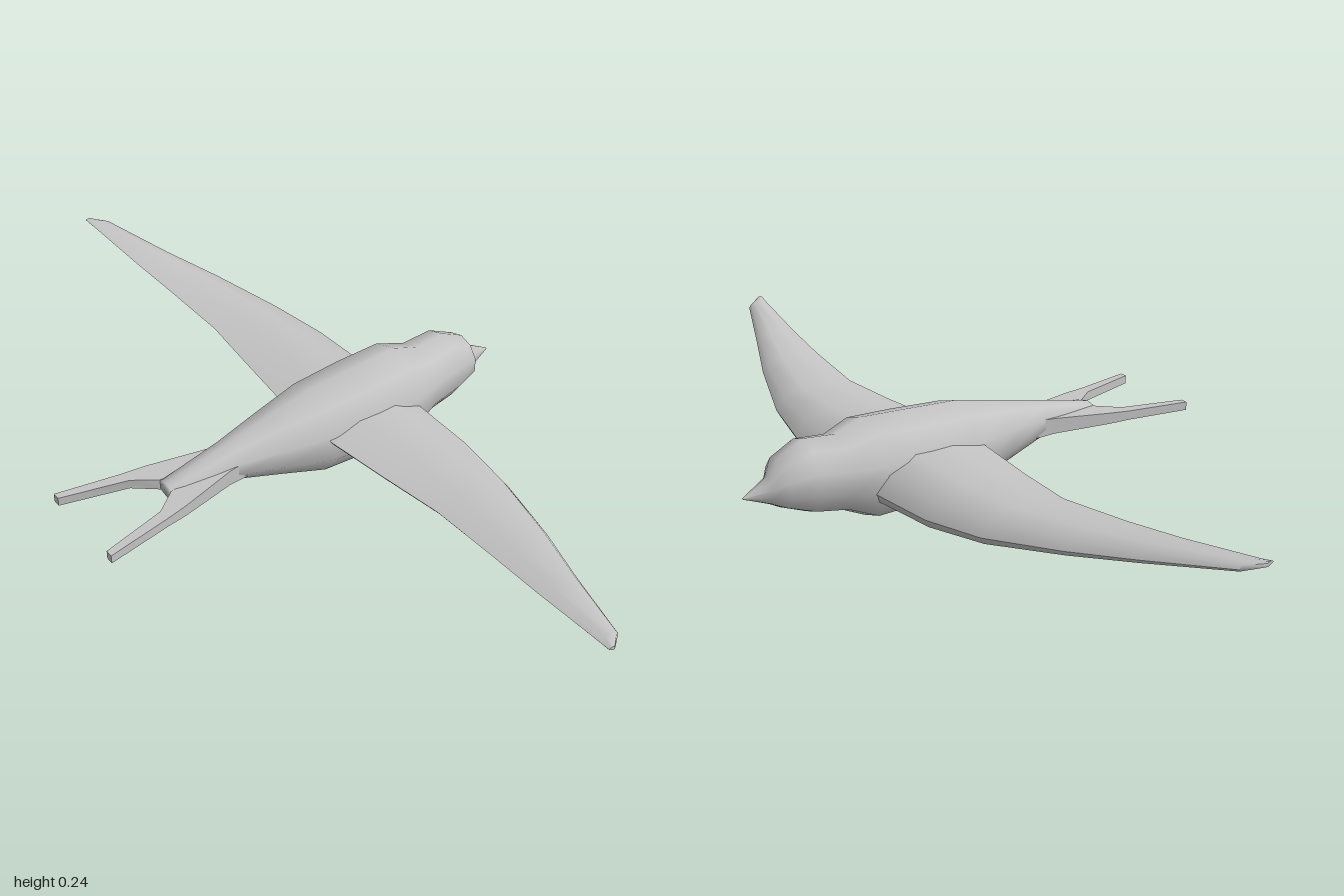
import * as THREE from 'three';
import { toCreasedNormals } from 'three/addons/utils/BufferGeometryUtils.js';

const plumage = new THREE.MeshStandardMaterial({ color: 0xc4c4c4 });
plumage.name = 'plumage grey';

// Closed skin over rings of equal point count, with fan caps, always facing outwards
function loft(rings, crease) {
  const n = rings[0].length, last = rings.length - 1;
  const pos = rings.flat(2);
  const index = [];
  for (let i = 0; i < last; i++) {
    for (let j = 0; j < n; j++) {
      const a = i * n + j, b = i * n + (j + 1) % n;
      index.push(a, b, a + n, b, b + n, a + n);
    }
  }
  for (const r of [0, last]) {
    const c = pos.length / 3;
    for (let k = 0; k < 3; k++) pos.push(rings[r].reduce((s, p) => s + p[k], 0) / n);
    for (let j = 0; j < n; j++) {
      const a = r * n + j, b = r * n + (j + 1) % n;
      if (r === 0) index.push(c, b, a); else index.push(c, a, b);
    }
  }
  const v = (i) => new THREE.Vector3().fromArray(pos, i * 3);
  let volume = 0;
  for (let i = 0; i < index.length; i += 3) {
    volume += v(index[i]).dot(v(index[i + 1]).cross(v(index[i + 2])));
  }
  if (volume < 0) index.reverse();
  const geo = new THREE.BufferGeometry();
  geo.setAttribute('position', new THREE.Float32BufferAttribute(pos, 3));
  geo.setIndex(index);
  if (crease) return toCreasedNormals(geo, crease);
  geo.computeVertexNormals();
  return geo;
}

function part(name, geo) {
  const mesh = new THREE.Mesh(geo, plumage);
  mesh.name = name;
  return mesh;
}

// Body, head and beak: x, bottom, top, half width
function bodyGeometry() {
  const stations = [
    [-0.37, 0.104, 0.142, 0.03], [-0.21, 0.086, 0.178, 0.046], [-0.09, 0.05, 0.205, 0.075],
    [0.03, 0.012, 0.23, 0.103], [0.16, 0.008, 0.238, 0.112], [0.28, 0.004, 0.245, 0.108],
    [0.35, 0.038, 0.22, 0.084], [0.43, 0.053, 0.228, 0.077], [0.495, 0.08, 0.197, 0.058],
    [0.52, 0.094, 0.158, 0.027], [0.583, 0.121, 0.124, 0.002],
  ];
  const sides = 10;
  return loft(stations.map(([x, lo, hi, w]) => Array.from({ length: sides }, (_, j) => {
    const a = j / sides * Math.PI * 2;
    return [x, (lo + hi) / 2 + Math.cos(a) * (hi - lo) / 2, Math.sin(a) * w / 0.951];
  })));
}

// Wing: z, trailing x, leading x, lowest y, highest y
function wingGeometry(side) {
  const stations = [
    [0.04, 0.01, 0.31, 0.065, 0.175], [0.11, 0.015, 0.305, 0.07, 0.17],
    [0.28, 0.035, 0.297, 0.08, 0.166], [0.44, 0.052, 0.265, 0.098, 0.166],
    [0.63, 0.04, 0.2, 0.133, 0.18], [0.78, 0.026, 0.137, 0.162, 0.195],
    [0.97, 0.007, 0.06, 0.203, 0.221], [1.0, 0.003, 0.02, 0.214, 0.225],
  ];
  // Section as fractions of chord (from the leading edge) and of height
  const section = [[0, 0.28], [0.1, 0.7], [0.35, 1], [0.7, 0.97], [1, 0.78],
    [0.97, 0.66], [0.6, 0.36], [0.2, 0], [0.04, 0.05]];
  return loft(stations.map(([z, xt, xl, lo, hi]) => section.map(([c, h]) =>
    [xl + (xt - xl) * c, lo + (hi - lo) * h, z * side])), 1.0);
}

// Forked tail feather: x, inner z, outer z, bottom, top
function tailGeometry(side) {
  const stations = [
    [-0.18, 0, 0.045, 0.1, 0.145], [-0.23, 0, 0.05, 0.103, 0.142],
    [-0.37, 0.024, 0.086, 0.108, 0.136], [-0.425, 0.066, 0.096, 0.11, 0.133],
    [-0.585, 0.107, 0.126, 0.11, 0.131],
  ];
  return loft(stations.map(([x, zi, zo, lo, hi]) =>
    [[x, lo, zi * side], [x, lo, zo * side], [x, hi, zo * side], [x, hi, zi * side]]), 0.9);
}

export function createModel() {
  const bird = new THREE.Group();
  bird.name = 'bird';
  bird.add(part('body', bodyGeometry()));
  for (const [label, side] of [['front', 1], ['back', -1]]) {
    bird.add(part(label + 'Wing', wingGeometry(side)));
    bird.add(part(label + 'TailFeather', tailGeometry(side)));
  }
  return bird;
}
